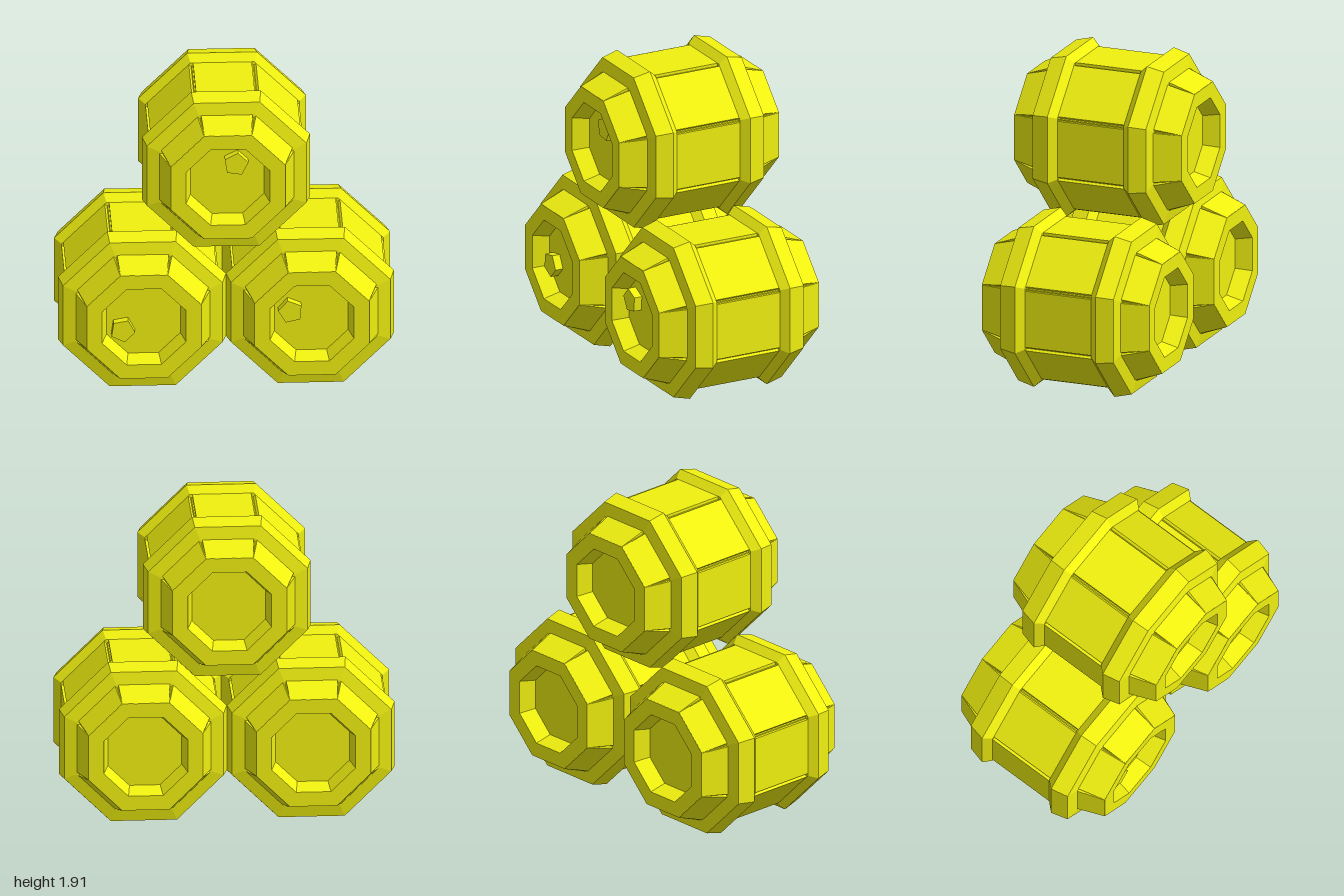
import * as THREE from 'three';
import { mergeGeometries } from 'three/addons/utils/BufferGeometryUtils.js';

const SIDES = 8;
const material = new THREE.MeshStandardMaterial({ color: 0xf0f010, flatShading: true });

// Octagonal turned shape along z; profile pairs are [flat-to-centre distance, z], z rising outside
function turned(profile) {
  const points = profile.map(([a, z]) => new THREE.Vector2(a / Math.cos(Math.PI / SIDES), z));
  return new THREE.LatheGeometry(points, SIDES, Math.PI / SIDES).rotateX(Math.PI / 2).scale(1, 1, 1);
}

// Repeat one top-side piece around the octagon
function around(geometry) {
  const copies = [];
  for (let i = 0; i < SIDES; i++) copies.push(geometry.clone().rotateZ((i * Math.PI * 2) / SIDES));
  return mergeGeometries(copies);
}

// Tapering end stave: wide and high at the hoop, narrow and low at the rim
function endStave() {
  const g = new THREE.BoxGeometry(1, 1, 1);
  const p = g.attributes.position;
  for (let i = 0; i < p.count; i++) {
    const rim = p.getZ(i) > 0;
    const top = p.getY(i) > 0;
    const half = rim ? 0.14 : 0.155;
    p.setXYZ(i, Math.sign(p.getX(i)) * half, top ? (rim ? 0.341 : 0.407) : 0.3, rim ? 0.539 : 0.36);
  }
  return g;
}

// Core with a recessed head at each end (half profile, mirrored)
const half = [[0.44, 0.3], [0.385, 0.37], [0.34, 0.54], [0.25, 0.54], [0.22, 0.44], [0, 0.44]];
const coreGeometry = turned([...half.map(([a, z]) => [a, -z]).reverse(), ...half]);
const hoopGeometry = turned([[0.4, 0.21], [0.458, 0.213], [0.5, 0.26], [0.475, 0.365], [0.4, 0.38], [0.37, 0.38]]);
const staveGeometry = around(new THREE.BoxGeometry(0.35, 0.1, 0.46).translate(0, 0.408, 0));
const endStaveGeometry = around(endStave());
const bungGeometry = new THREE.CylinderGeometry(0.075, 0.075, 0.07, 5).rotateX(Math.PI / 2);

function part(parent, name, geometry) {
  const mesh = new THREE.Mesh(geometry, material);
  mesh.name = name;
  parent.add(mesh);
  return mesh;
}

function barrel(name, x, y, bungX, bungY, bungAngle) {
  const group = new THREE.Group();
  group.name = name;
  group.position.set(x, y, 0);
  part(group, 'core', coreGeometry);
  part(group, 'middleStaves', staveGeometry);
  for (const [end, turn] of [['front', 0], ['back', Math.PI]]) {
    part(group, end + 'Hoop', hoopGeometry).rotation.y = turn;
    part(group, end + 'Staves', endStaveGeometry).rotation.y = turn;
  }
  // Five-sided plug on the front head
  const bung = part(group, 'bung', bungGeometry);
  bung.position.set(bungX, bungY, 0.455);
  // A vertex of the plug starts pointing straight down
  bung.rotation.z = THREE.MathUtils.degToRad(bungAngle + 90);
  return group;
}

export function createModel() {
  const model = new THREE.Group();
  model.name = 'barrelStack';
  model.add(
    barrel('leftBarrel', 0.5, 0.5, -0.125, 0.055, 31),
    barrel('rightBarrel', -0.5, 0.5, -0.125, -0.05, -8),
    barrel('topBarrel', 0, 1.415, 0.05, 0.125, 9)
  );
  return model;
}
